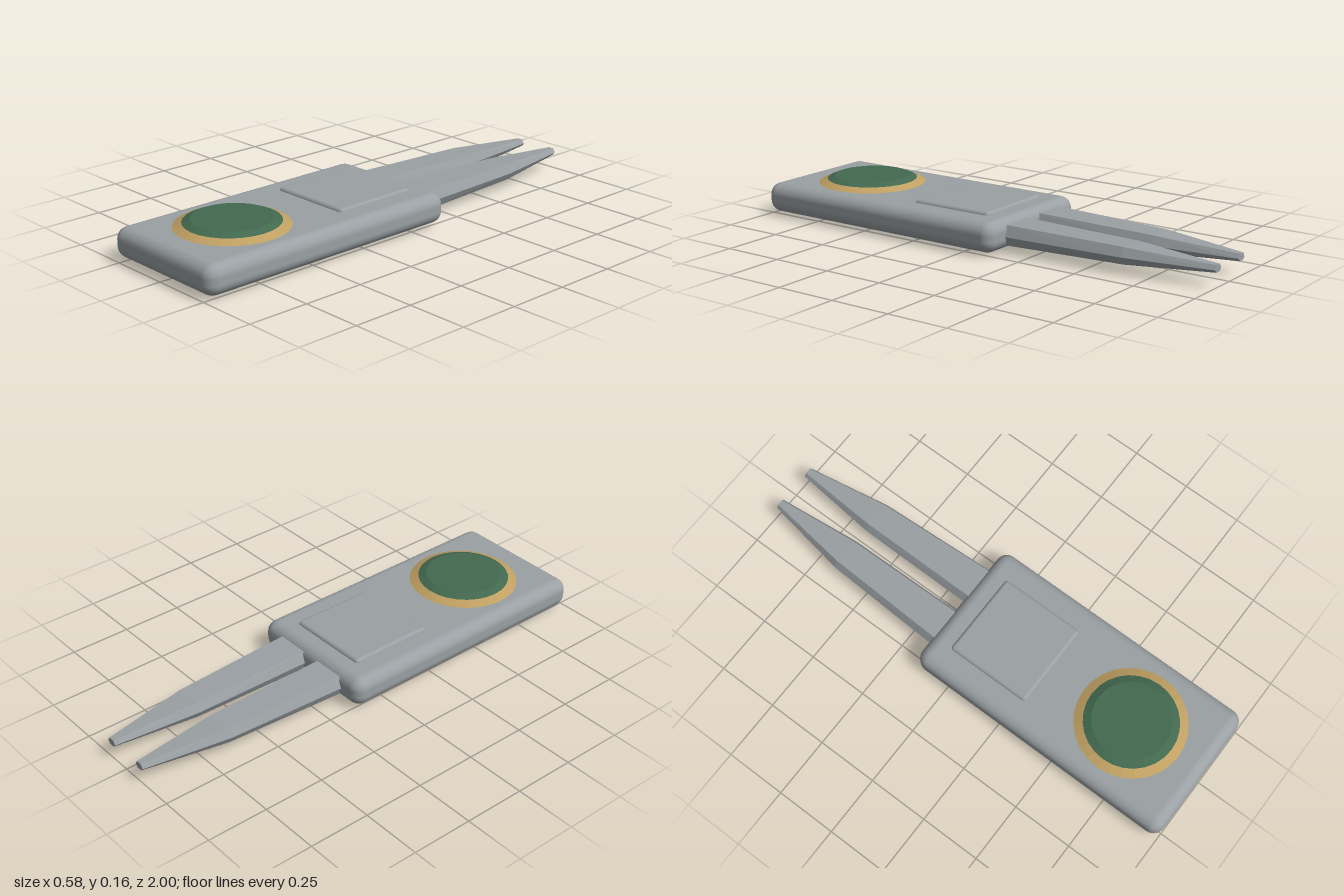
import * as THREE from 'three';
import { RoundedBoxGeometry } from 'three/addons/geometries/RoundedBoxGeometry.js';
import { ConvexGeometry } from 'three/addons/geometries/ConvexGeometry.js';

const MID = 0.0725; // height of the body's middle plane

export function createModel() {
  const group = new THREE.Group();
  const paint = (name, color) => {
    const m = new THREE.MeshStandardMaterial({ color });
    m.name = name;
    return m;
  };
  const steel = paint('steel grey', 0x9aa0a3);
  const brass = paint('brass', 0xc0a062);
  const green = paint('enamel green', 0x42694f);

  const add = (name, geometry, material, x, y, z) => {
    const mesh = new THREE.Mesh(geometry, material);
    mesh.name = name;
    mesh.position.set(x, y, z);
    group.add(mesh);
    return mesh;
  };

  // Handle with a raised panel showing on both faces
  add('body', new RoundedBoxGeometry(0.576, 0.121, 1.15, 4, 0.048), steel, 0, MID, 0.425);
  add('thumbPanel', new RoundedBoxGeometry(0.36, 0.142, 0.36, 3, 0.015), steel, 0, MID + 0.002, 0.12);

  // Bevelled disc: a sloping brass rim around a green inset
  const marker = (name, outer, seat, inner, seatY, rimY, inset, topY) => {
    const disc = new THREE.CylinderGeometry(inset, inner, topY - rimY, 28).toNonIndexed();
    disc.computeVertexNormals();
    const rim = new THREE.CylinderGeometry(inner, outer, rimY - seatY, 28).toNonIndexed();
    rim.computeVertexNormals();
    return [
      add(name + 'Rim', rim, brass, 0, (seatY + rimY) / 2, seat),
      add(name + 'Inset', disc, green, 0, (rimY + topY) / 2, seat),
    ];
  };
  marker('topMarker', 0.222, 0.67, 0.185, 0.132, 0.149, 0.154, 0.162);
  // The underside marker is the same shape turned over and sunk deeper
  marker('bottomMarker', 0.204, 0.67, 0.17, -0.014, -0.005, 0.152, 0).forEach((mesh) => {
    mesh.position.y *= -1;
    mesh.rotation.x = Math.PI;
  });

  // Tapered six-sided prongs: z, inner x, outer x, half height, side bevel
  const sections = [
    [-0.1, 0.024, 0.195, 0.041, 0.018],
    [-0.65, 0.03, 0.169, 0.033, 0.017],
    [-1, 0.066, 0.11, 0.014, 0.01],
  ];
  for (const side of [1, -1]) {
    const points = [];
    for (const [z, a, b, h, c] of sections) {
      points.push(new THREE.Vector3(side * a, -0.003, z), new THREE.Vector3(side * b, -0.003, z));
      for (const y of [h, -h]) {
        points.push(new THREE.Vector3(side * (a + c), y, z), new THREE.Vector3(side * (b - c), y, z));
      }
    }
    add(side > 0 ? 'leftProng' : 'rightProng', new ConvexGeometry(points), steel, 0, MID - 0.002, 0);
  }
  return group;
}
